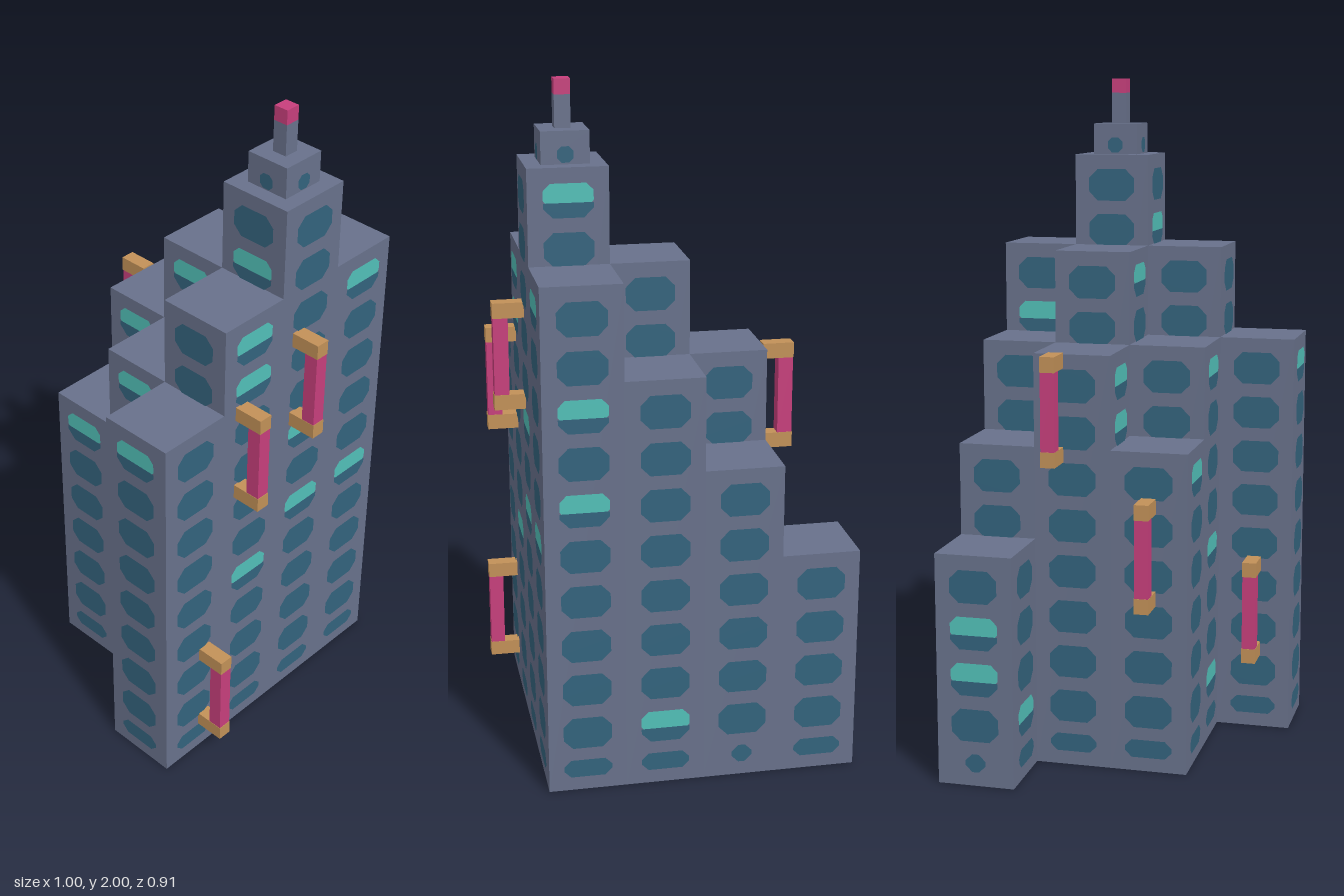
import * as THREE from 'three';
import { mergeGeometries } from 'three/addons/utils/BufferGeometryUtils.js';

const CELL = 0.2268, FLOOR = 0.1364, X0 = -0.5, Z0 = -0.4536;

// Floors per tower, rows from back to front, columns from right (-x) to left (+x)
const FLOORS = [
  [5, 7, 9, 11],
  [0, 9, 11, 13],
  [0, 7, 9, 11],
  [0, 0, 0, 9],
];
// Wall directions: step in column and row, turn about y
const SIDES = {
  front: [0, 1, 0],
  left: [1, 0, Math.PI / 2],
  back: [0, -1, Math.PI],
  right: [-1, 0, -Math.PI / 2],
};
// Lit windows: side, row, column -> storeys
const LIT = {
  front00: [0], front11: [6, 7], front21: [5], front12: [9], front22: [0, 3, 7],
  front13: [10], front33: [7],
  left03: [4, 9], left13: [4, 6], left23: [3, 8, 9],
  back03: [5, 7], back02: [0], back13: [11],
  right00: [1, 2], right03: [8],
};
// Small service hatches that replace ground windows
const HATCHES = ['back01', 'right00'];

const mat = (name, color) => {
  const m = new THREE.MeshStandardMaterial({ color });
  m.name = name;
  return m;
};

// Eight-sided pane between y0 and y1, with corner cuts at bottom and top
function pane(w, y0, y1, cutBottom, cutTop) {
  const h = w / 2, s = new THREE.Shape();
  s.moveTo(-h + cutBottom, y0);
  s.lineTo(h - cutBottom, y0);
  s.lineTo(h, y0 + cutBottom);
  s.lineTo(h, y1 - cutTop);
  s.lineTo(h - cutTop, y1);
  s.lineTo(-h + cutTop, y1);
  s.lineTo(-h, y1 - cutTop);
  s.lineTo(-h, y0 + cutBottom);
  s.closePath();
  return new THREE.ShapeGeometry(s);
}

export function createModel() {
  const root = new THREE.Group();
  root.name = 'skyscraper';
  const wall = mat('slate wall', 0x68718b);
  const glass = mat('blue glass', 0x33637d);
  const glow = mat('teal light', 0x52c0b8);
  const wood = mat('ochre bracket', 0xc29158);
  const pink = mat('pink sign', 0xc73f7c);

  const add = (parent, geometry, material, name) => {
    const m = new THREE.Mesh(geometry, material);
    m.name = name;
    parent.add(m);
    return m;
  };
  const box = (parent, name, material, w, h, d, x, y, z) =>
    add(parent, new THREE.BoxGeometry(w, h, d), material, name).position.set(x, y, z);

  const dark = [], lit = [];
  // Turn a pane to its wall and set it just proud of the surface
  const place = (list, g, turn, x, z, reach) => {
    g.translate(0, 0, reach + 0.003).rotateY(turn).translate(x, 0, z);
    list.push(g);
  };

  // Stepped towers and their windows
  FLOORS.forEach((line, r) => line.forEach((n, c) => {
    if (!n) return;
    const x = X0 + (c + 0.5) * CELL, z = Z0 + (r + 0.5) * CELL, h = n * FLOOR;
    box(root, 'tower', wall, CELL, h, CELL, x, h / 2, z);
    for (const [side, [dc, dr, turn]] of Object.entries(SIDES)) {
      const key = side + r + c;
      const from = FLOORS[r + dr]?.[c + dc] ?? 0;
      const put = (list, g) => place(list, g, turn, x, z, CELL / 2);
      if (from === 0) {
        const w = HATCHES.includes(key) ? 0.06 : 0.14;
        put(dark, pane(w, 0.042, 0.096, 0.02, 0.02));
      }
      for (let k = Math.max(0, from - 1); k < n - 1; k++) {
        const y = 0.182 + k * FLOOR;
        if (LIT[key]?.includes(k)) {
          put(lit, pane(0.14, y - 0.006, y + 0.048, 0.006, 0.02));
          put(dark, pane(0.14, y - 0.048, y - 0.006, 0.027, 0.0));
        } else {
          put(dark, pane(0.14, y - 0.048, y + 0.048, 0.027, 0.027));
        }
      }
    }
  }));

  // Roof cap and mast
  const mx = X0 + 3.5 * CELL, mz = Z0 + 1.5 * CELL, roof = 13 * FLOOR;
  box(root, 'roofCap', wall, 0.136, 0.092, 0.136, mx, roof + 0.046, mz);
  box(root, 'mast', wall, 0.045, 0.092, 0.045, mx, 1.911, mz);
  box(root, 'mastTip', pink, 0.045, 0.043, 0.045, mx, 1.9785, mz);
  for (const [, , turn] of Object.values(SIDES))
    place(dark, pane(0.045, roof + 0.005, roof + 0.05, 0.012, 0.012), turn, mx, mz, 0.068);

  add(root, mergeGeometries(dark), glass, 'windows');
  add(root, mergeGeometries(lit), glow, 'litWindows');

  // Hanging signs: wall x, outward direction, z, bottom y
  const xl = X0 + 4 * CELL, xr = X0 + CELL;
  const signs = [
    [xl, 1, -0.068, 1.048], [xl, 1, 0.159, 0.914], [xl, 1, 0.295, 0.095],
    [xr, -1, -0.16, 0.914], [xr, -1, 0.113, 0.504], [X0 + 3 * CELL, -1, 0.34, 0.232],
  ];
  for (const [x, dir, z, y] of signs) {
    const sign = new THREE.Group();
    sign.name = 'hangingSign';
    sign.position.set(x, y, z);
    root.add(sign);
    for (const by of [0.0225, 0.2955])
      box(sign, 'bracket', wood, 0.091, 0.045, 0.043, dir * 0.0455, by, 0);
    box(sign, 'signPanel', pink, 0.043, 0.228, 0.041, dir * 0.068, 0.159, 0);
  }
  return root;
}
